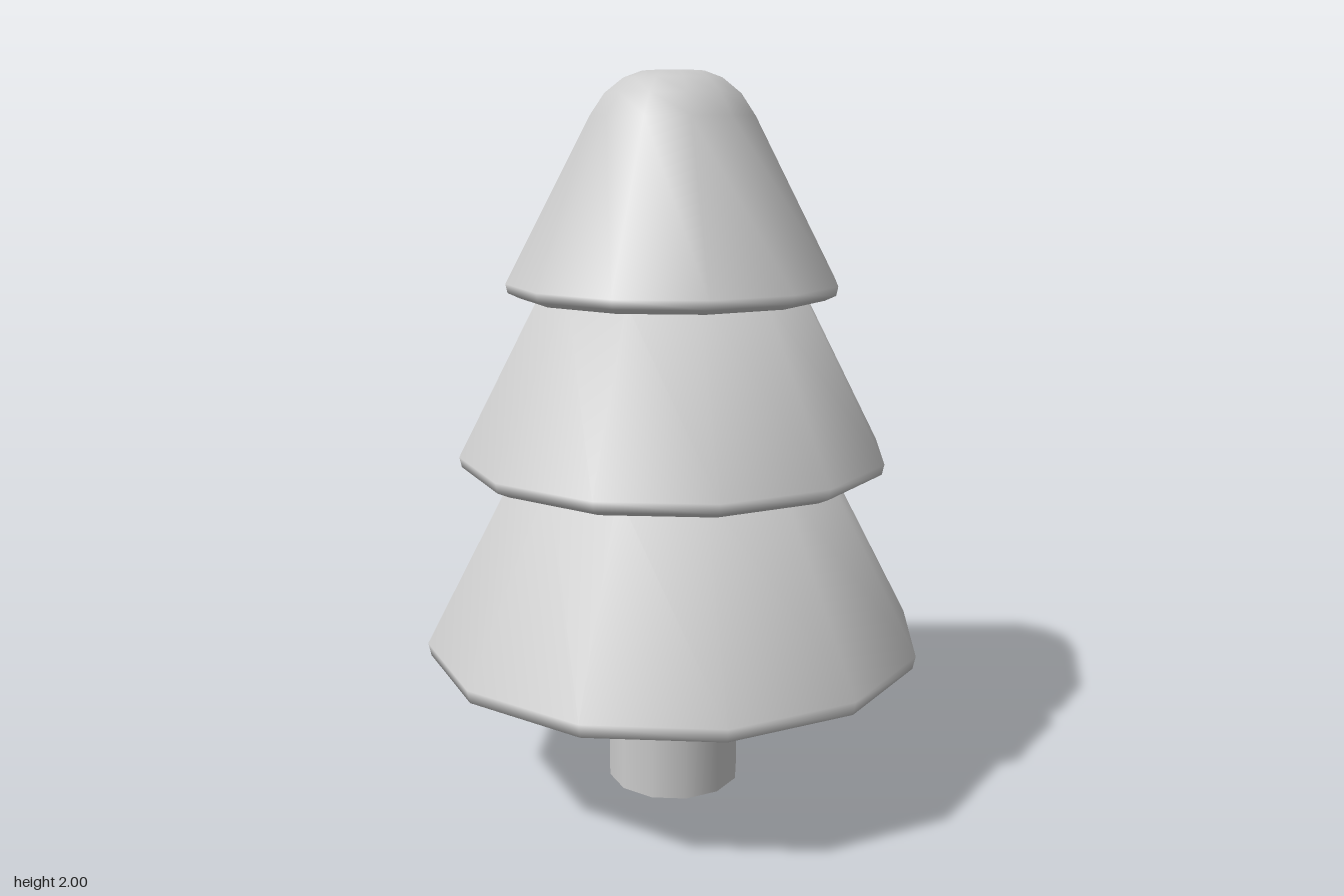
import * as THREE from 'three';

const SIDES = 12;

export function createModel() {
  const tree = new THREE.Group();
  tree.name = 'tree';
  const material = new THREE.MeshStandardMaterial({ color: 0xcccccc });

  const add = (name, geometry) => {
    const mesh = new THREE.Mesh(geometry, material);
    mesh.name = name;
    tree.add(mesh);
    return mesh;
  };

  // Skirt of branches: flat underside, rounded rim, then the given upper profile
  const addTier = (name, radius, bottom, rim, upper) => {
    const points = [
      [0, bottom],
      [radius - rim * 1.6, bottom],
      [radius - rim, bottom],
      [radius - rim * 0.15, bottom + rim * 0.4],
      [radius, bottom + rim * 1.1],
      ...upper,
    ].map(([r, y]) => new THREE.Vector2(r, y));
    add(name, new THREE.LatheGeometry(points, SIDES));
  };

  // Trunk
  add('trunk', new THREE.CylinderGeometry(0.19, 0.19, 0.45, SIDES)).position.y = 0.225;

  // Lower tiers end hidden inside the tier above
  addTier('lowerBranches', 0.7, 0.39, 0.052, [[0.43, 0.96], [0, 0.96]]);
  addTier('middleBranches', 0.595, 0.935, 0.04, [[0.36, 1.43], [0, 1.43]]);

  // Top tier with its rounded crown
  addTier('topBranches', 0.457, 1.41, 0.035, [
    [0.225, 1.885], [0.185, 1.943], [0.135, 1.982], [0.085, 2], [0, 2],
  ]);

  return tree;
}
